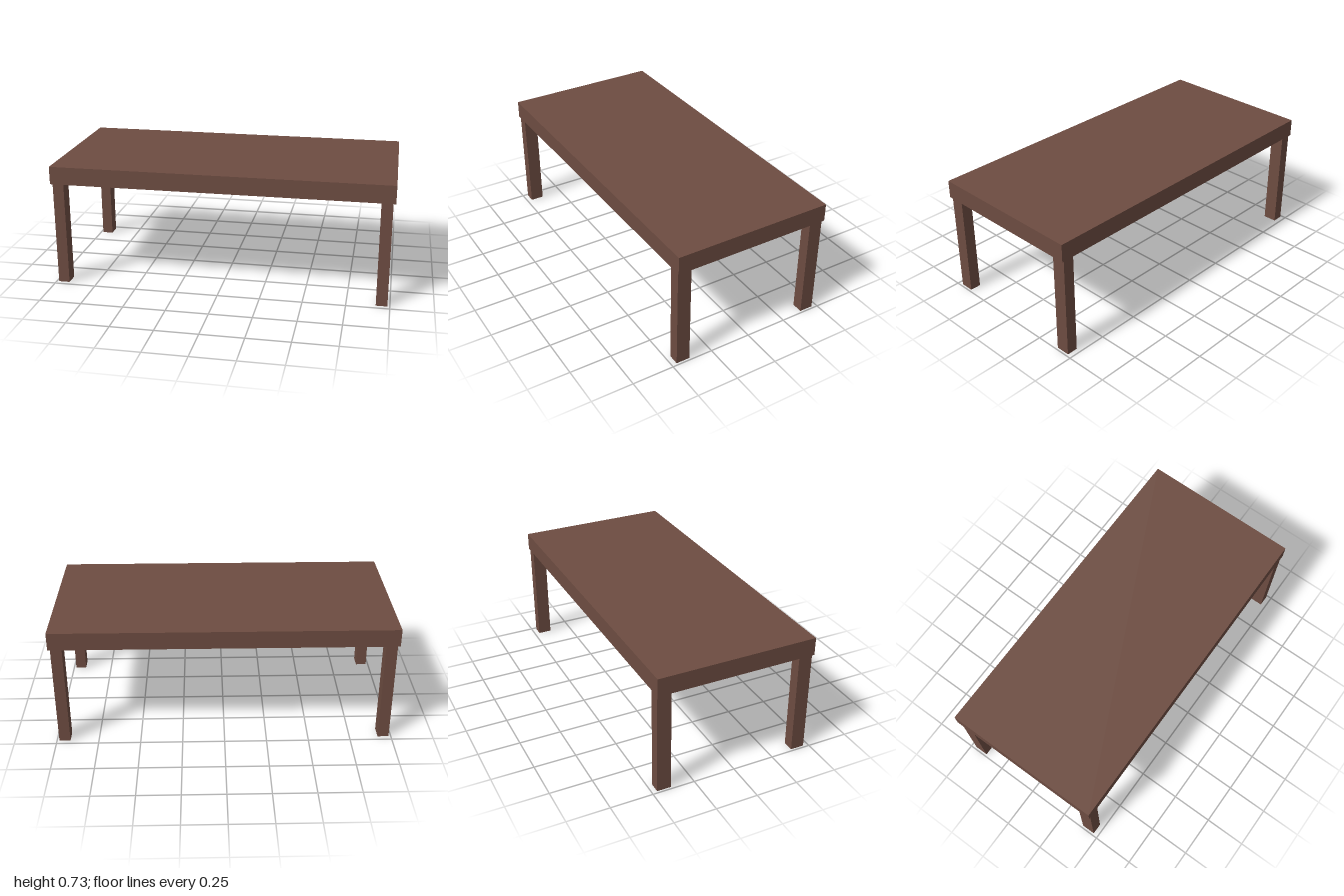
import * as THREE from 'three';

const WOOD = new THREE.MeshStandardMaterial({ color: 0x6d4c41 });

// Box resting on height y
function addBox(parent, name, [w, h, d], [x, y, z]) {
  const mesh = new THREE.Mesh(new THREE.BoxGeometry(w, h, d), WOOD);
  mesh.name = name;
  mesh.position.set(x, y + h / 2, z);
  parent.add(mesh);
}

export function createModel() {
  const table = new THREE.Group();
  table.name = 'table';
  const legHeight = 0.62;

  // Thick solid top
  addBox(table, 'tableTop', [2, 0.106, 0.948], [0, legHeight, 0]);

  // Four legs, set in slightly from the corners
  for (const [side, sx] of [['Left', 1], ['Right', -1]]) {
    for (const [end, sz] of [['front', 1], ['back', -1]]) {
      addBox(table, `${end}${side}Leg`, [0.066, legHeight, 0.082], [sx * 0.953, 0, sz * 0.428]);
    }
  }
  return table;
}
